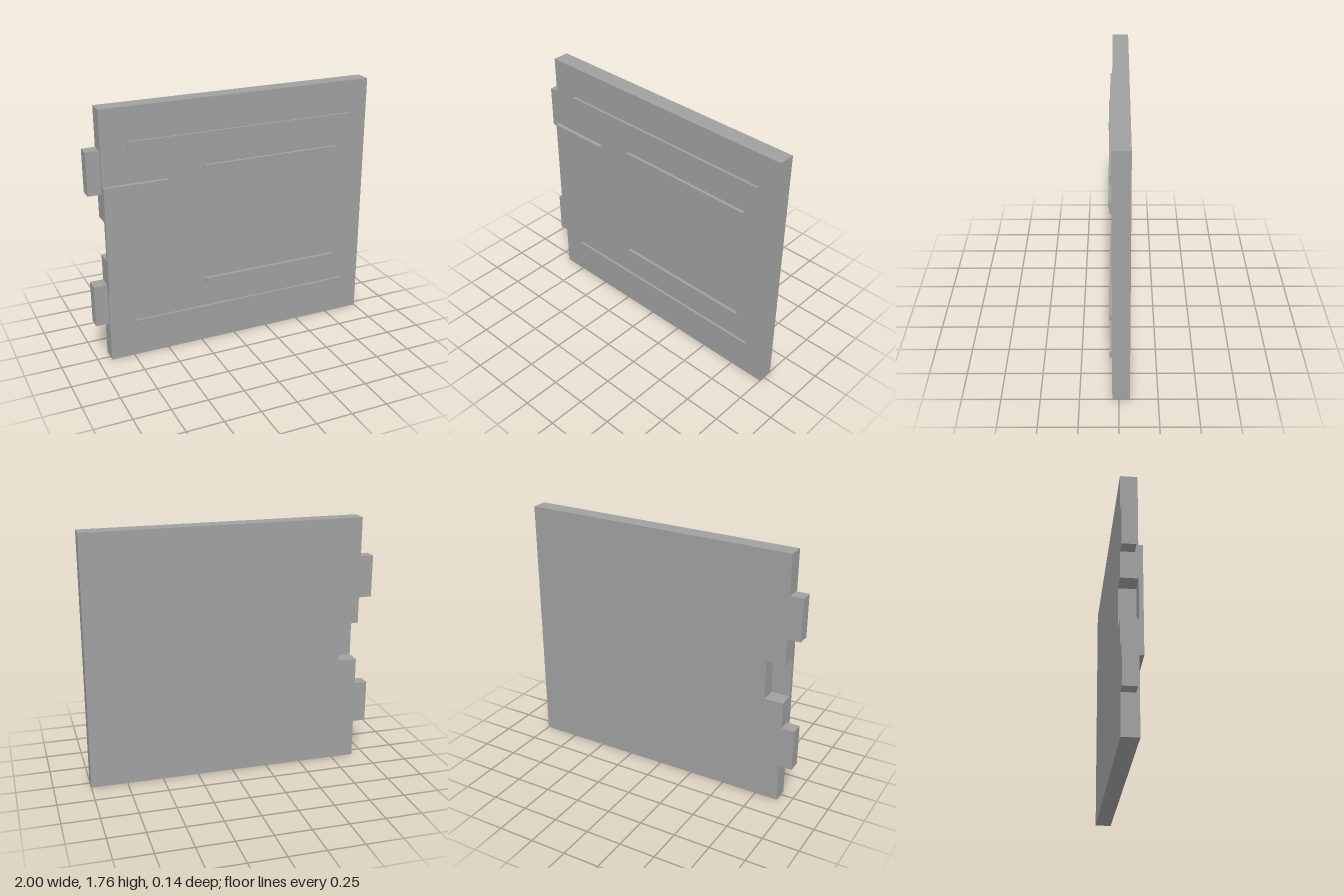
import * as THREE from 'three';

export function createModel() {
  const model = new THREE.Group();
  model.name = 'doorPanel';
  const grey = new THREE.MeshStandardMaterial({ color: 0xa0a0a0 });
  grey.name = 'plain grey';

  const BACK = -0.07, FACE = 0.042, EDGE = -0.91, HEIGHT = 1.756, MID = HEIGHT / 2;

  // Box given by its extents on each axis
  function block(name, [x0, x1], [y0, y1], [z0, z1]) {
    const mesh = new THREE.Mesh(new THREE.BoxGeometry(x1 - x0, y1 - y0, z1 - z0), grey);
    mesh.position.set((x0 + x1) / 2, (y0 + y1) / 2, (z0 + z1) / 2);
    mesh.name = name;
    model.add(mesh);
  }

  // Main slab, with a rectangular notch cut through its hinge edge
  const outline = new THREE.Shape([
    [EDGE, 0], [1, 0], [1, HEIGHT], [EDGE, HEIGHT],
    [EDGE, MID + 0.135], [-0.78, MID + 0.135], [-0.78, MID - 0.135], [EDGE, MID - 0.135],
  ].map(([x, y]) => new THREE.Vector2(x, y)));
  const slab = new THREE.Mesh(
    new THREE.ExtrudeGeometry(outline, { depth: FACE - BACK, bevelEnabled: false }), grey);
  slab.position.z = BACK;
  slab.name = 'slab';
  model.add(slab);

  // Raised plate covering the notch from the front
  block('coverPlate', [EDGE, -0.475], [MID - 0.372, MID + 0.372], [FACE, 0.07]);

  // Tabs and ribs, mirrored about the middle height
  for (const [side, s] of [['upper', 1], ['lower', -1]]) {
    const span = (centre, half) => [MID + s * centre - half, MID + s * centre + half];
    block(side + 'HingeTab', [-1, EDGE], span(0.464, 0.145), [BACK, 0.02]);
    block(side + 'LongRib', [-0.732, 0.862], span(0.631, 0.022), [FACE, 0.058]);
    block(side + 'ShortRib', [-0.215, 0.77], span(0.411, 0.017), [FACE, 0.063]);
  }
  return model;
}
